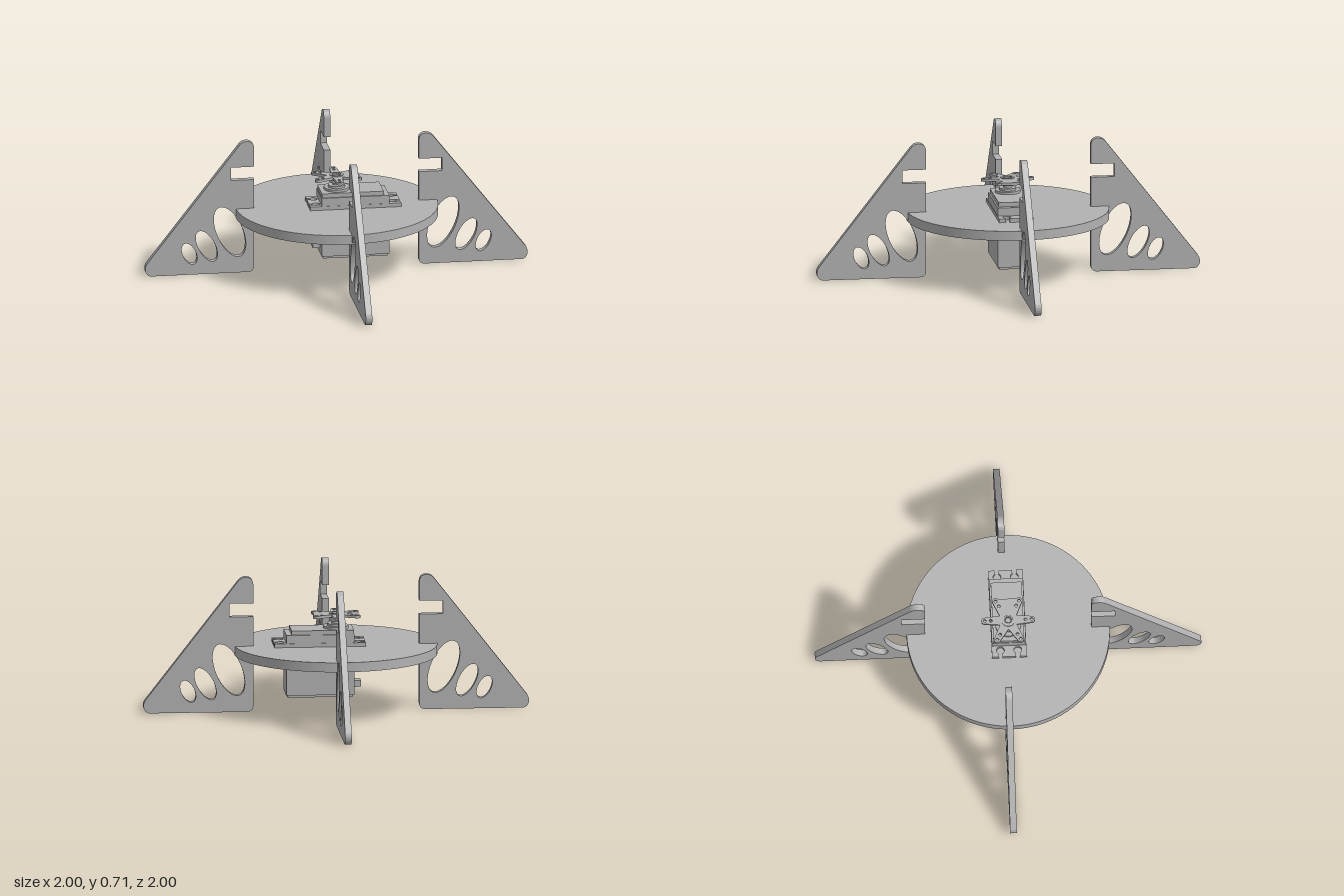
import * as THREE from 'three';
import { toCreasedNormals } from 'three/addons/utils/BufferGeometryUtils.js';

const grey = new THREE.MeshStandardMaterial({ color: 0xb2b2b2 });
grey.name = 'plain grey';

function add(parent, name, geometry, x = 0, y = 0, z = 0) {
  const mesh = new THREE.Mesh(geometry, grey);
  mesh.name = name;
  mesh.position.set(x, y, z);
  parent.add(mesh);
  return mesh;
}

function extrude(shape, depth, curveSegments = 16) {
  const g = new THREE.ExtrudeGeometry(shape, { depth, bevelEnabled: false, curveSegments });
  return toCreasedNormals(g, 0.6);
}

// Flat plate: the shape's x, y become x, -z and its thickness rises along y
const plate = (shape, depth) => extrude(shape, depth).rotateX(-Math.PI / 2);

const box = (x0, x1, y0, y1, halfZ) =>
  new THREE.BoxGeometry(x1 - x0, y1 - y0, halfZ * 2).translate((x0 + x1) / 2, (y0 + y1) / 2, 0);

const drum = (r, y0, y1, segments = 40) =>
  new THREE.CylinderGeometry(r, r, y1 - y0, segments).translate(0, (y0 + y1) / 2, 0);

function hole(x, y, rx, ry = rx, turn = 0) {
  return new THREE.Path().absellipse(x, y, rx, ry, 0, Math.PI * 2, true, turn);
}

// Triangular leg with a notch and three leaning oval cut-outs
function legGeometry() {
  const s = new THREE.Shape();
  s.moveTo(0.46, 0);
  s.lineTo(0.965, 0);
  s.quadraticCurveTo(0.985, 0, 0.995, 0.02);
  s.quadraticCurveTo(1.005, 0.045, 0.988, 0.07);
  s.lineTo(0.506, 0.69);
  s.quadraticCurveTo(0.49, 0.708, 0.467, 0.708);
  s.quadraticCurveTo(0.43, 0.705, 0.43, 0.667);
  s.lineTo(0.43, 0.57);
  s.lineTo(0.552, 0.57);
  s.lineTo(0.552, 0.5);
  s.lineTo(0.43, 0.5);
  s.lineTo(0.43, 0.03);
  s.quadraticCurveTo(0.432, 0.002, 0.46, 0);
  s.holes.push(
    hole(0.557, 0.222, 0.067, 0.145, -0.4),
    hole(0.678, 0.15, 0.043, 0.092, -0.48),
    hole(0.768, 0.112, 0.034, 0.062, -0.45)
  );
  return extrude(s, 0.034, 20).translate(0, 0, -0.017);
}

// Mounting flange with two open keyhole slots at each end
function flangeGeometry() {
  const x0 = -0.15, x1 = 0.325, h = 0.09, r = 0.02, w = 0.01;
  const s = new THREE.Shape();
  const a = Math.asin(w / r);
  s.moveTo(x0, -h);
  s.lineTo(x1, -h);
  for (const z of [-0.045, 0.045]) {
    s.lineTo(x1, z - w);
    s.absarc(x1 - 0.036, z, r, -a, a, true);
    s.lineTo(x1, z + w);
  }
  s.lineTo(x1, h);
  s.lineTo(x0, h);
  for (const z of [0.045, -0.045]) {
    s.lineTo(x0, z + w);
    s.absarc(x0 + 0.036, z, r, Math.PI - a, Math.PI + a, true);
    s.lineTo(x0, z - w);
  }
  s.closePath();
  return plate(s, 0.02);
}

// Six-armed star horn with small holes along each arm
function hornGeometry() {
  const s = new THREE.Shape();
  for (let i = 0; i < 6; i++) {
    const t = Math.PI / 6 + i * Math.PI / 3;
    const valley = t - Math.PI / 6;
    const vx = Math.cos(valley) * 0.05, vy = Math.sin(valley) * 0.05;
    if (i === 0) s.moveTo(vx, vy); else s.lineTo(vx, vy);
    s.absarc(Math.cos(t) * 0.122, Math.sin(t) * 0.122, 0.017, t - 1.4, t + 1.4, false);
    for (const [d, r] of [[0.09, 0.008], [0.121, 0.008]]) {
      s.holes.push(hole(Math.cos(t) * d, Math.sin(t) * d, r));
    }
  }
  s.closePath();
  s.holes.push(hole(0, 0, 0.018));
  return plate(s, 0.014);
}

export function createModel() {
  const model = new THREE.Group();
  model.name = 'servoStand';

  // Round platform
  add(model, 'platform', toCreasedNormals(drum(0.525, 0.295, 0.345, 96), 0.6));

  // Four legs around the platform
  const leg = legGeometry();
  for (let i = 0; i < 4; i++) {
    const alongX = i % 2 === 0;
    const mesh = add(model, 'leg', leg, alongX ? 0 : 0.017, 0, alongX ? -0.017 : 0);
    mesh.rotation.y = i * Math.PI / 2;
  }

  // Servo motor through the middle of the platform
  const servo = new THREE.Group();
  servo.name = 'servo';
  model.add(servo);
  add(servo, 'body', box(-0.09, 0.263, 0.092, 0.408, 0.088));
  add(servo, 'bottomCap', box(-0.082, 0.255, 0.08, 0.092, 0.08));
  add(servo, 'cableGland', box(-0.128, -0.09, 0.122, 0.156, 0.03));
  add(servo, 'flange', flangeGeometry(), 0, 0.345, 0);
  add(servo, 'lid', box(-0.088, 0.235, 0.408, 0.43, 0.08));

  // Output shaft in steps
  add(servo, 'gearBoss', drum(0.066, 0.43, 0.443));
  add(servo, 'gearCollar', drum(0.045, 0.443, 0.455));
  add(servo, 'shaft', drum(0.022, 0.455, 0.492, 24));

  // Star horn, its hub and screw
  add(servo, 'hornHub', drum(0.036, 0.468, 0.491));
  add(servo, 'horn', hornGeometry(), 0, 0.491, 0);
  const ring = new THREE.Shape().absarc(0, 0, 0.036, 0, Math.PI * 2, false);
  ring.holes.push(hole(0, 0, 0.024));
  add(servo, 'hornRing', plate(ring, 0.005), 0, 0.504, 0);
  add(servo, 'hornScrew', drum(0.014, 0.49, 0.501, 20));
  return model;
}
